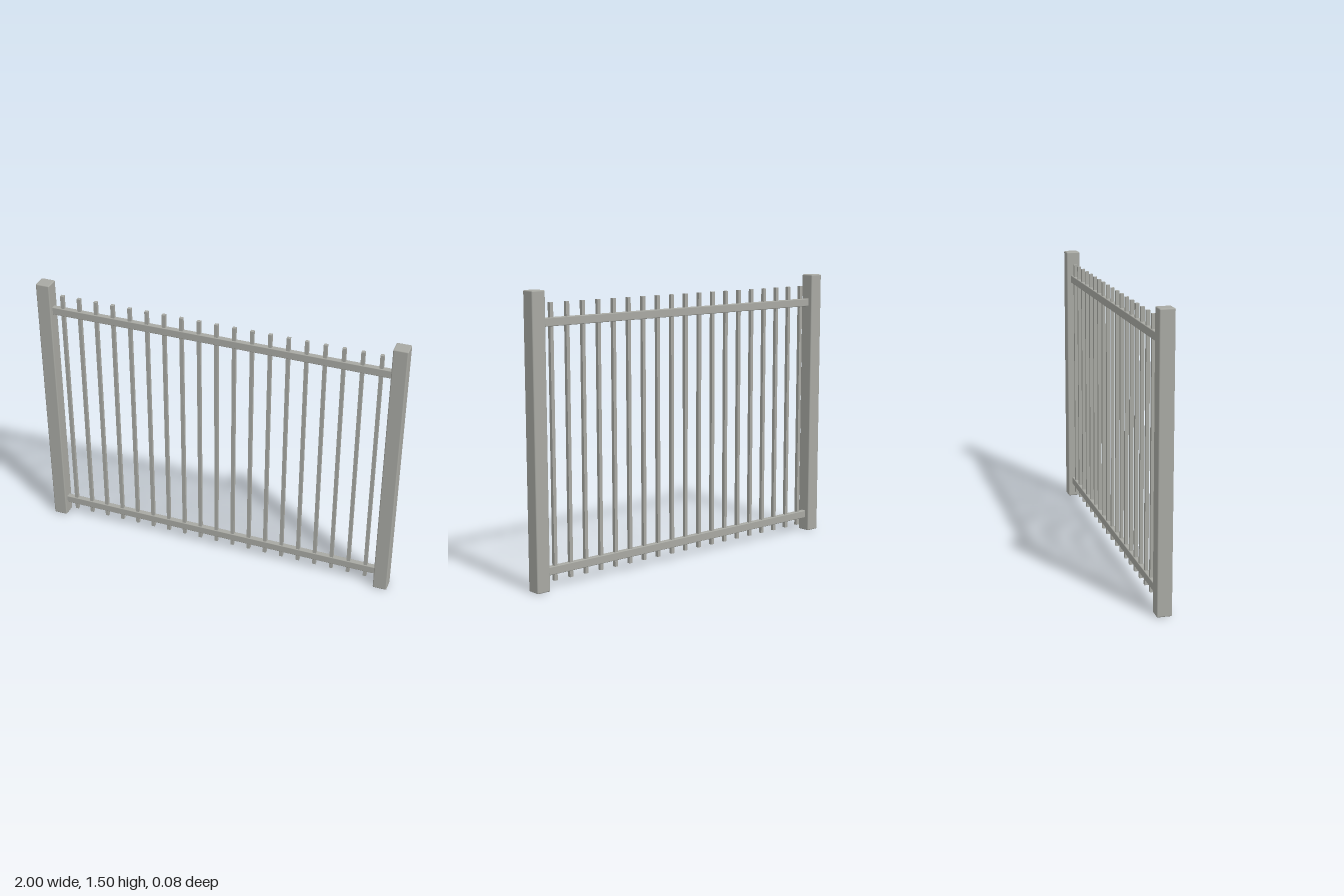
import * as THREE from 'three';
import { RoundedBoxGeometry } from 'three/addons/geometries/RoundedBoxGeometry.js';

export function createModel() {
  const model = new THREE.Group();
  model.name = 'fencePanel';
  const metal = new THREE.MeshStandardMaterial({ color: 0xa8a9a3 });
  metal.name = 'grey metal';

  const add = (name, geometry, x, y) => {
    const mesh = new THREE.Mesh(geometry, metal);
    mesh.name = name;
    mesh.position.set(x, y, 0);
    model.add(mesh);
  };

  // Square end posts with softened edges
  const post = new RoundedBoxGeometry(0.077, 1.5, 0.077, 2, 0.006);
  add('rightPost', post, -0.9615, 0.75);
  add('leftPost', post, 0.9615, 0.75);

  // Horizontal rails running between the posts
  const rail = new RoundedBoxGeometry(1.86, 0.043, 0.029, 2, 0.004);
  add('bottomRail', rail, 0, 0.096);
  add('topRail', rail, 0, 1.342);

  // Evenly spaced pickets passing through both rails
  const count = 19, spacing = 0.0963, bottom = 0.04, top = 1.437;
  const picket = new THREE.BoxGeometry(0.019, top - bottom, 0.019);
  for (let i = 0; i < count; i++) {
    add(`picket${i + 1}`, picket, (i - (count - 1) / 2) * spacing, (top + bottom) / 2);
  }
  return model;
}
